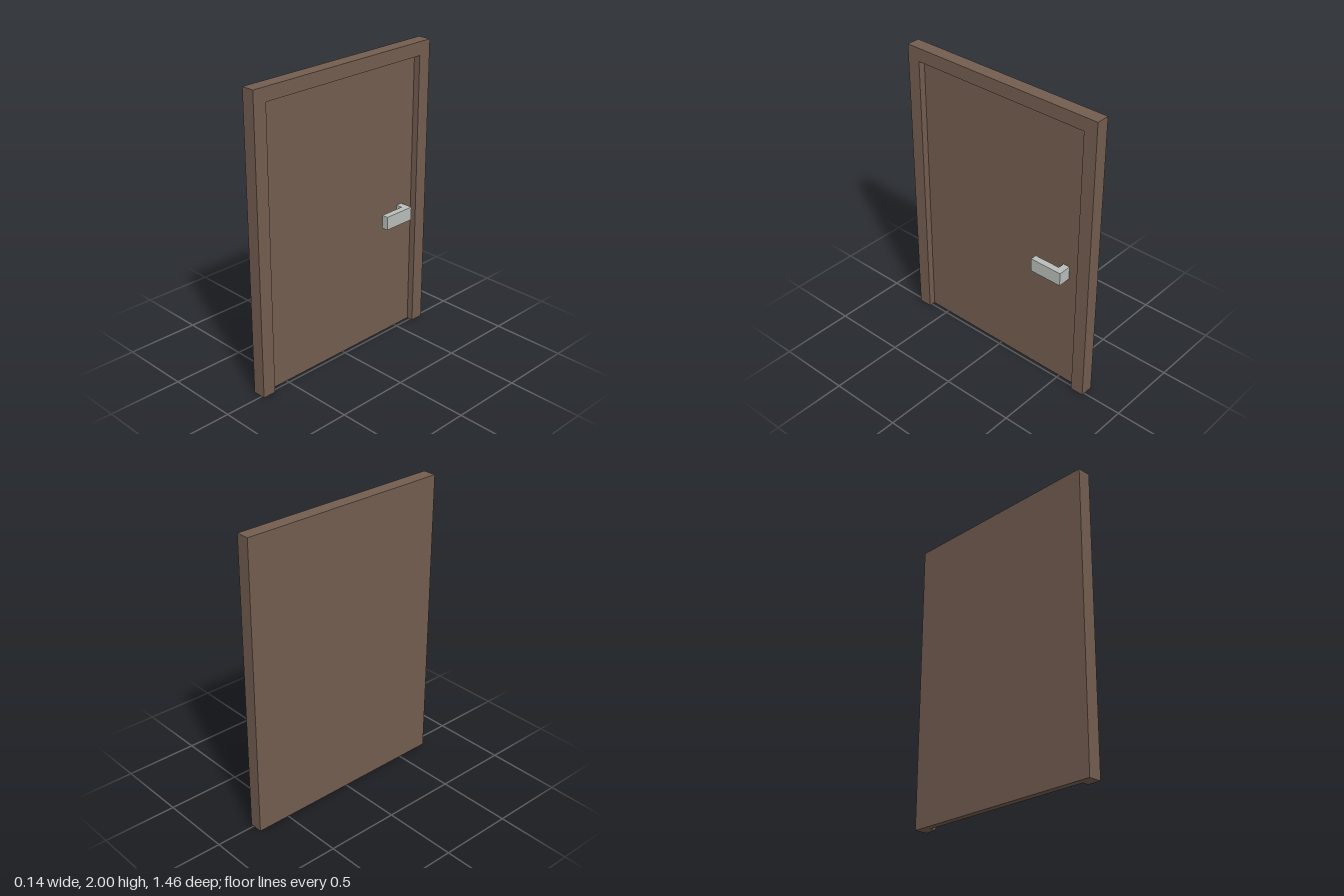
import * as THREE from 'three';

const BACK = -0.068, FRONT = 0.022, RECESS = -0.023; // x planes
const HALF_W = 0.728, HALF_OPEN = 0.637, HEIGHT = 2, OPEN_TOP = 1.91;

// Flat outline from points, extruded along its own z
function extrude(points, depth) {
  const shape = new THREE.Shape(points.map(([x, y]) => new THREE.Vector2(x, y)));
  return new THREE.ExtrudeGeometry(shape, { depth, bevelEnabled: false });
}

export function createModel() {
  const wood = new THREE.MeshStandardMaterial({ name: 'brown wood', color: 0x735d50 });
  const metal = new THREE.MeshStandardMaterial({ name: 'pale metal', color: 0xb9beba });
  const group = new THREE.Group();
  group.name = 'door';
  const add = (name, geometry, material) => {
    const mesh = new THREE.Mesh(geometry, material);
    mesh.name = name;
    group.add(mesh);
  };

  // Frame: two jambs and a lintel, open at the floor
  const frame = extrude([
    [-HALF_W, 0], [-HALF_OPEN, 0], [-HALF_OPEN, OPEN_TOP], [HALF_OPEN, OPEN_TOP],
    [HALF_OPEN, 0], [HALF_W, 0], [HALF_W, HEIGHT], [-HALF_W, HEIGHT],
  ], FRONT - BACK);
  frame.rotateY(Math.PI / 2).translate(BACK, 0, 0);
  add('frame', frame, wood);

  // Door leaf: flush with the back, recessed on the handle side
  const leaf = new THREE.BoxGeometry(RECESS - BACK, OPEN_TOP, HALF_OPEN * 2);
  leaf.translate((BACK + RECESS) / 2, OPEN_TOP / 2, 0);
  add('doorLeaf', leaf, wood);

  // Handle: L-shaped in plan, a short stem carrying a flat grip
  const handle = extrude([
    [RECESS, 0.5], [FRONT, 0.5], [FRONT, 0.318], [0.067, 0.318],
    [0.067, 0.546], [RECESS, 0.546],
  ], 0.091);
  handle.rotateX(-Math.PI / 2).translate(0, 0.819, 0);
  add('handle', handle, metal);

  return group;
}
